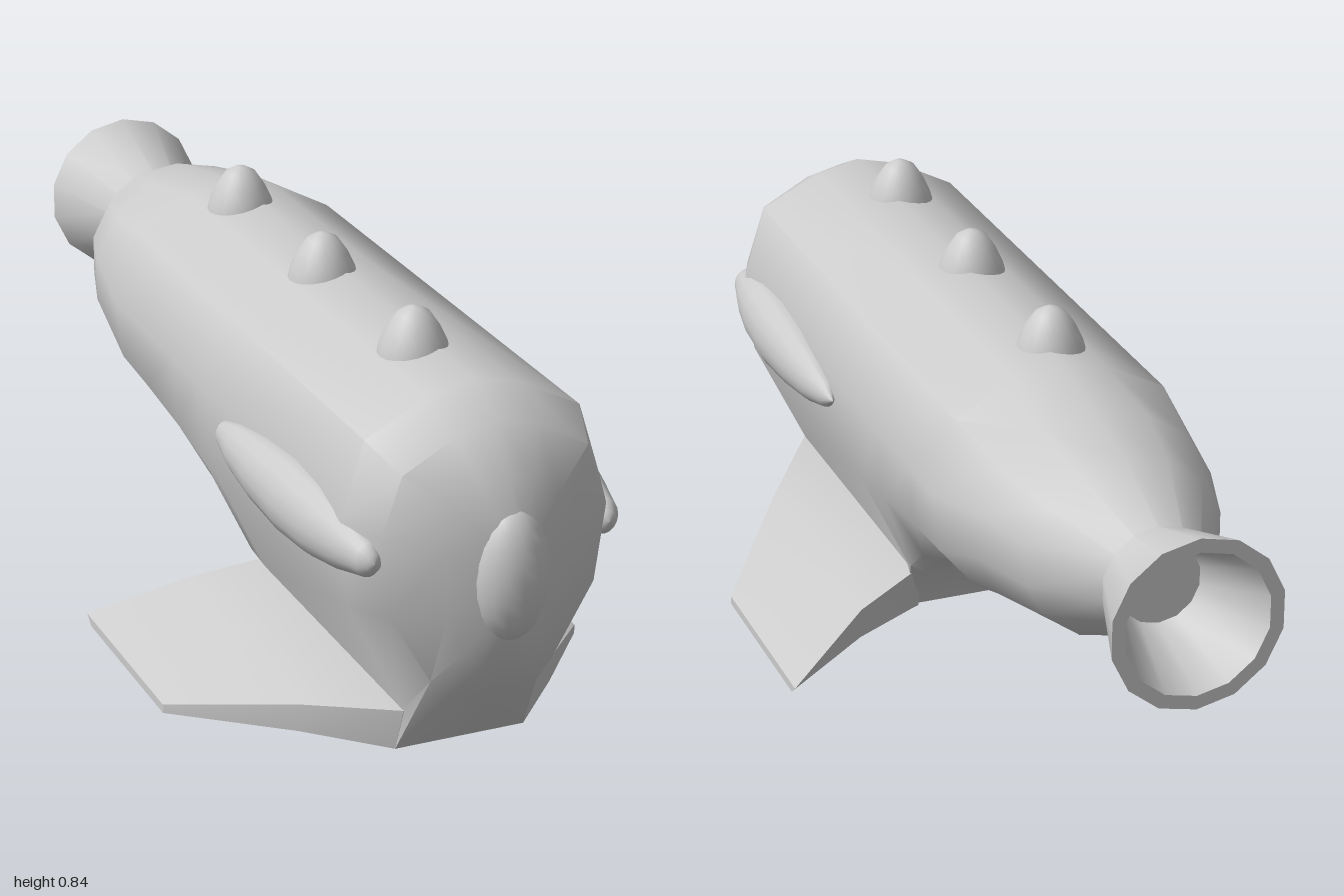
import * as THREE from 'three';
import { toCreasedNormals } from 'three/addons/utils/BufferGeometryUtils.js';

const grey = new THREE.MeshStandardMaterial({ color: 0xcccccc });

// Skin a list of closed rings of [x, y, z] points and cap both ends.
function loft(rings, crease, flip = false) {
  const n = rings[0].length, pos = [];
  const tri = (a, b, c) => pos.push(...a, ...(flip ? c : b), ...(flip ? b : c));
  const middle = ring => [0, 1, 2].map(k => ring.reduce((s, p) => s + p[k], 0) / n);
  for (let i = 0; i < rings.length - 1; i++) {
    for (let j = 0; j < n; j++) {
      const k = (j + 1) % n, r = rings[i], s = rings[i + 1];
      tri(r[j], r[k], s[j]);
      tri(r[k], s[k], s[j]);
    }
  }
  const first = rings[0], last = rings[rings.length - 1];
  for (let j = 0; j < n; j++) {
    const k = (j + 1) % n;
    tri(middle(first), first[k], first[j]);
    tri(middle(last), last[j], last[k]);
  }
  const g = new THREE.BufferGeometry();
  g.setAttribute('position', new THREE.Float32BufferAttribute(pos, 3));
  return toCreasedNormals(g, crease);
}

// Full ring from the half outline running from top centre to bottom centre.
function hullRing(z, half) {
  const right = half.map(([x, y]) => [x, y, z]);
  const left = half.slice(1, -1).reverse().map(([x, y]) => [-x, y, z]);
  return [...right, ...left];
}

function roundRing(z, r, cy = 0.545, ry = r) {
  const half = [];
  for (let k = 0; k <= 7; k++) {
    const a = k * Math.PI / 7;
    half.push([r * Math.sin(a), cy + ry * Math.cos(a)]);
  }
  return hullRing(z, half);
}

function add(parent, name, geometry) {
  const mesh = new THREE.Mesh(geometry, grey);
  mesh.name = name;
  parent.add(mesh);
  return mesh;
}

export function createModel() {
  const model = new THREE.Group();
  model.name = 'rocketVessel';

  // Hull: wedge nose, keeled belly, tapering tail and hollow flared nozzle
  const upper = [[0, 0.778], [0.09, 0.757], [0.21, 0.695], [0.255, 0.55]];
  const belly = [...upper, [0.24, 0.38], [0.13, 0.15], [0.13, 0.055], [0, 0.055]];
  const rings = [
    hullRing(0.965, [[0, 0.58], [0.02, 0.57], [0.04, 0.54], [0.045, 0.48], [0.04, 0.42], [0.03, 0.39], [0.02, 0.37], [0, 0.36]]),
    hullRing(0.925, [[0, 0.65], [0.05, 0.64], [0.1, 0.6], [0.12, 0.51], [0.11, 0.41], [0.08, 0.32], [0.05, 0.28], [0, 0.27]]),
    hullRing(0.875, [[0, 0.735], [0.08, 0.715], [0.18, 0.66], [0.22, 0.54], [0.2, 0.39], [0.12, 0.25], [0.09, 0.21], [0, 0.205]]),
    hullRing(0.78, belly).map(([x, y, z]) => [x, y, y < 0.1 ? 0.75 : z]),
    hullRing(0.13, belly),
    hullRing(0.08, [...upper, [0.24, 0.38], [0.14, 0.17], [0.11, 0.15], [0, 0.15]]),
    hullRing(-0.05, [...upper, [0.24, 0.4], [0.16, 0.26], [0.1, 0.235], [0, 0.23]]),
    hullRing(-0.23, [...upper, [0.24, 0.42], [0.17, 0.335], [0.08, 0.305], [0, 0.3]]),
    hullRing(-0.36, [...upper, [0.24, 0.43], [0.17, 0.345], [0.08, 0.31], [0, 0.306]]),
    roundRing(-0.53, 0.24, 0.54, 0.205),
    roundRing(-0.67, 0.195, 0.537, 0.178),
    roundRing(-0.82, 0.107),
    roundRing(-1, 0.167),
    roundRing(-1, 0.14),
    roundRing(-0.83, 0.08),
  ];
  add(model, 'hull', loft(rings, 0.8));

  // Front lens
  const lens = add(model, 'frontLens', new THREE.SphereGeometry(1, 16, 12));
  lens.scale.set(0.073, 0.13, 0.062);
  lens.position.set(0, 0.47, 0.938);

  // Three domes along the back
  const domeProfile = [[0.07, -0.05], [0.071, -0.01], [0.062, 0.025], [0.048, 0.055], [0.03, 0.081], [0.012, 0.091], [0, 0.093]]
    .map(p => new THREE.Vector2(...p));
  [0.575, 0.16, -0.255].forEach((z, i) => {
    const dome = add(model, 'dorsalDome' + (i + 1), new THREE.LatheGeometry(domeProfile, 20));
    dome.position.set(-0.023, 0.752, z);
  });

  // Side pods (pointed at the back, blunt at the front) and swept fins
  const podProfile = [[0, -0.335], [0.027, -0.3], [0.05, -0.22], [0.067, -0.11], [0.077, 0.02], [0.073, 0.13],
    [0.058, 0.22], [0.042, 0.28], [0.034, 0.312], [0.018, 0.332], [0, 0.336]].map(p => new THREE.Vector2(...p));
  // Fin stations: x, front z top/bottom, back z top/bottom, top y front/back, bottom y
  const finStations = [
    [0.11, 0.79, 0.75, 0.1, 0.12, 0.15, 0.15, 0.055],
    [0.13, 0.785, 0.75, 0.09, 0.11, 0.15, 0.15, 0.055],
    [0.26, 0.61, 0.6, 0.04, 0.05, 0.105, 0.112, 0.045],
    [0.436, 0.36, 0.36, -0.062, -0.04, 0.02, 0.02, 0.002],
  ];
  for (const side of [1, -1]) {
    const label = side > 0 ? 'left' : 'right';
    const pod = add(model, label + 'Pod', new THREE.LatheGeometry(podProfile, 16));
    pod.geometry.rotateX(Math.PI / 2);
    pod.scale.x = 0.8;
    pod.rotation.y = -side * 0.04;
    pod.position.set(side * 0.243, 0.5, 0.539);

    const sections = finStations.map(([x, ft, fb, bt, bb, yf, yb, y0]) =>
      [[side * x, yf, ft], [side * x, yb, bt], [side * x, y0, bb], [side * x, y0, fb]]);
    add(model, label + 'Fin', loft(sections, 0.5, side > 0));
  }

  return model;
}
